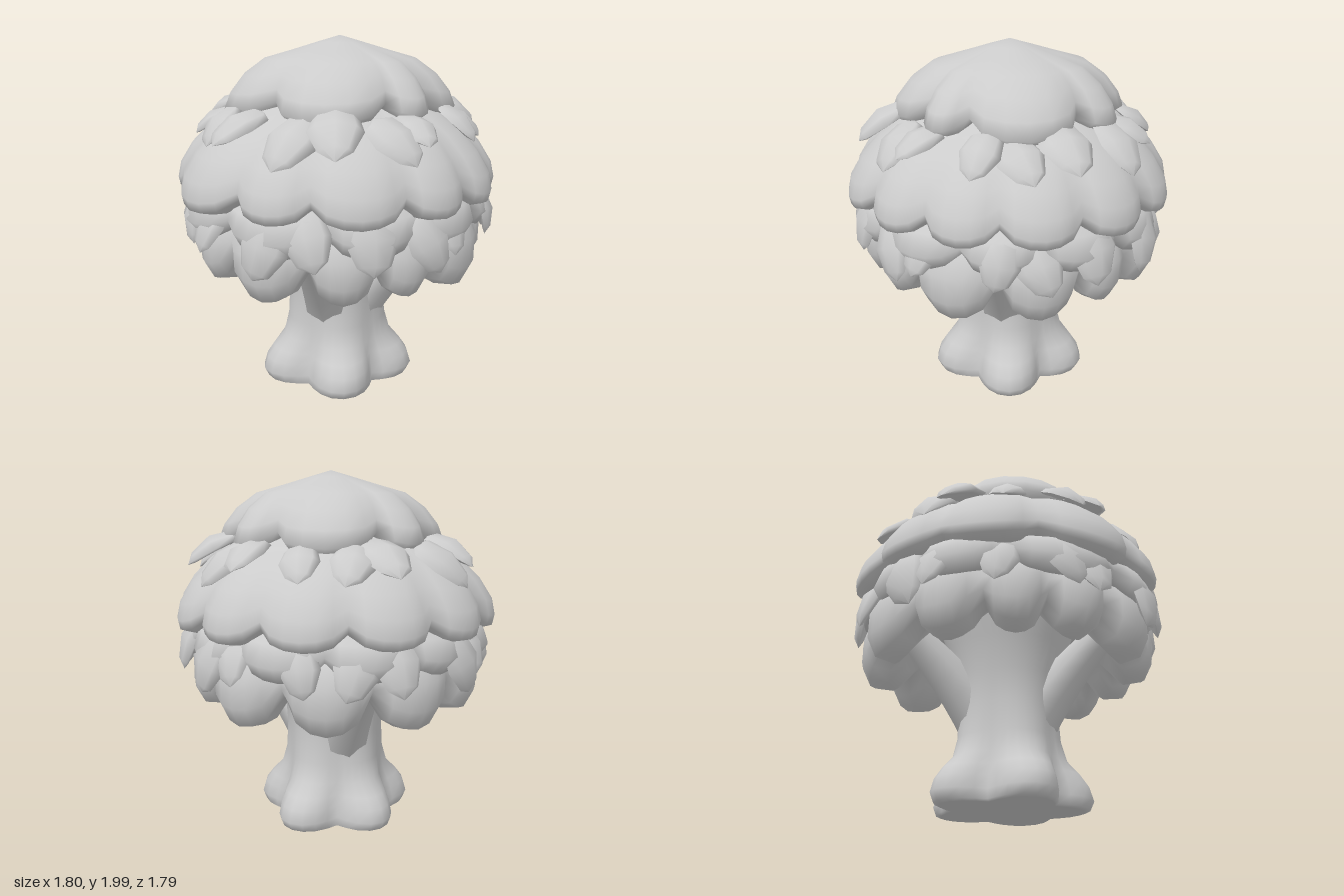
import * as THREE from 'three';
import { mergeVertices } from 'three/addons/utils/BufferGeometryUtils.js';

const material = new THREE.MeshStandardMaterial({ color: 0xcccccc, side: THREE.DoubleSide });

// Ring surface whose edge bulges between notch angles (degrees from +z towards +x).
// Each profile point, top to bottom: [radius, height, extra radius at bulge, drop at bulge].
function lobedSurface(name, notches, profile, power = 0.6, steps = 6) {
  const columns = [];
  notches.forEach((start, i) => {
    const next = i + 1 < notches.length ? notches[i + 1] : notches[0] + 360;
    const width = next - start;
    const size = Math.min(1.15, 0.5 + width / 62);
    for (let k = 0; k < steps; k++) {
      const t = k / steps;
      columns.push({
        angle: THREE.MathUtils.degToRad(start + width * t),
        bulge: size * Math.pow(Math.sin(Math.PI * t), power),
      });
    }
  });
  const n = columns.length;
  const positions = [];
  const indices = [];
  profile.forEach(([r, y, out = 0, drop = 0], i) => {
    columns.forEach(({ angle, bulge }, j) => {
      const radius = r + out * bulge;
      positions.push(Math.sin(angle) * radius, y - drop * bulge, Math.cos(angle) * radius);
      if (i + 1 < profile.length) {
        const a = i * n + j;
        const b = i * n + (j + 1) % n;
        indices.push(a, a + n, b, b, a + n, b + n);
      }
    });
  });
  let geometry = new THREE.BufferGeometry();
  geometry.setAttribute('position', new THREE.Float32BufferAttribute(positions, 3));
  geometry.setIndex(indices);
  geometry = mergeVertices(geometry);
  geometry.computeVertexNormals();
  const mesh = new THREE.Mesh(geometry, material);
  mesh.name = name;
  return mesh;
}

// Branch thick where it leaves the trunk and thinner in the crown
function branch(degrees) {
  const curve = new THREE.QuadraticBezierCurve3(
    new THREE.Vector3(0, 0.36, 0.06),
    new THREE.Vector3(0, 0.66, 0.24),
    new THREE.Vector3(0, 1.05, 0.66),
  );
  const steps = 8;
  const sides = 8;
  const geometry = new THREE.TubeGeometry(curve, steps, 1, sides);
  const p = geometry.attributes.position;
  const v = new THREE.Vector3();
  for (let i = 0; i < p.count; i++) {
    const t = Math.floor(i / (sides + 1)) / steps;
    const centre = curve.getPointAt(t);
    v.fromBufferAttribute(p, i).sub(centre).multiplyScalar(0.17 - 0.1 * t).add(centre);
    p.setXYZ(i, v.x, v.y, v.z);
  }
  const mesh = new THREE.Mesh(geometry, material);
  mesh.name = 'branch';
  mesh.rotation.y = THREE.MathUtils.degToRad(degrees);
  return mesh;
}

// Thick leaf, hanging along -y, widest near its root, pointed and cupped
function leafGeometry() {
  const geometry = new THREE.SphereGeometry(1, 8, 4);
  const p = geometry.attributes.position;
  for (let i = 0; i < p.count; i++) {
    const y = p.getY(i);
    const x = p.getX(i) * (1 + 0.2 * y);
    p.setXYZ(i, x * 0.12, y * 0.16, p.getZ(i) * 0.035 - 0.04 * y * y - 0.03 * x * x);
  }
  geometry.computeVertexNormals();
  return geometry;
}

function leafRing(name, count, radius, height, tilt, offset) {
  const ring = new THREE.Group();
  ring.name = name;
  const geometry = leafGeometry();
  for (let i = 0; i < count; i++) {
    const wobble = Math.sin(i * 2.4 + offset);
    const pivot = new THREE.Group();
    pivot.rotation.y = ((i + 0.25 * wobble) / count) * Math.PI * 2 + offset;
    const leaf = new THREE.Mesh(geometry, material);
    leaf.name = 'leaf';
    leaf.position.set(0, height + 0.03 * Math.cos(i * 3.7), radius + 0.02 * wobble);
    leaf.rotation.set(-tilt + 0.15 * wobble, 0, 0.35 * Math.sin(i * 1.9));
    leaf.scale.setScalar(1 + 0.15 * Math.cos(i * 5.1));
    pivot.add(leaf);
    ring.add(pivot);
  }
  return ring;
}

export function createModel() {
  const tree = new THREE.Group();
  tree.name = 'tree';

  // Trunk flaring into five roots
  tree.add(lobedSurface('trunk', [-31, 43, 116, 188, 256], [
    [0.42, 1.15], [0.34, 0.9], [0.29, 0.72], [0.27, 0.55, 0.01], [0.27, 0.38, 0.02],
    [0.28, 0.27, 0.04], [0.29, 0.2, 0.09], [0.3, 0.14, 0.12], [0.31, 0.07, 0.13],
    [0.31, 0.02, 0.11], [0.29, 0.01, 0.1], [0, 0.01],
  ], 1.2, 8));

  // Branches reaching up into the crown
  for (const degrees of [70, 203, 345]) tree.add(branch(degrees));

  // Crown tiers, from the bottom up
  tree.add(lobedSurface('lowerFoliage', [-45, -11, 17, 40, 75, 107, 130, 165, 200, 235, 265, 290], [
    [0.62, 1.22], [0.72, 1.1, 0.05], [0.75, 1.0, 0.08, 0.02], [0.74, 0.94, 0.09, 0.1],
    [0.7, 0.9, 0.08, 0.16], [0.63, 0.88, 0.04, 0.16], [0.56, 0.91, 0.02, 0.07],
    [0.48, 1.0], [0.2, 1.1],
  ]));
  tree.add(lobedSurface('skirtFoliage', [-42, -3, 30, 62, 90, 120, 150, 182, 212, 240, 275], [
    [0.7, 1.28], [0.78, 1.2, 0.05, 0.01], [0.8, 1.13, 0.07, 0.05],
    [0.76, 1.08, 0.06, 0.08], [0.6, 1.12],
  ]));
  tree.add(leafRing('lowerLeaves', 18, 0.84, 1.08, 0.35, 0.2));
  tree.add(lobedSurface('middleFoliage', [-35, -8, 24, 50, 76, 104, 132, 160, 190, 220, 250, 285], [
    [0.42, 1.68], [0.56, 1.61, 0.02], [0.67, 1.53, 0.04, 0.01], [0.75, 1.44, 0.06, 0.02],
    [0.8, 1.36, 0.08, 0.05], [0.82, 1.29, 0.08, 0.07], [0.81, 1.25, 0.08, 0.08],
    [0.76, 1.23, 0.06, 0.08], [0.55, 1.24],
  ]));
  tree.add(leafRing('upperLeaves', 17, 0.69, 1.585, 1.0, 0));

  // Domed top with broad scallops
  const cap = lobedSurface('topFoliage', [-40, 27, 56, 120, 153, 213, 247], [
    [0, 2.0], [0.12, 1.965], [0.26, 1.92, 0.01], [0.38, 1.88, 0.03],
    [0.45, 1.82, 0.07, 0.02], [0.49, 1.75, 0.1, 0.04], [0.5, 1.69, 0.12, 0.06],
    [0.46, 1.66, 0.1, 0.07], [0.3, 1.65],
  ]);
  cap.position.x = 0.02;
  tree.add(cap);

  return tree;
}
